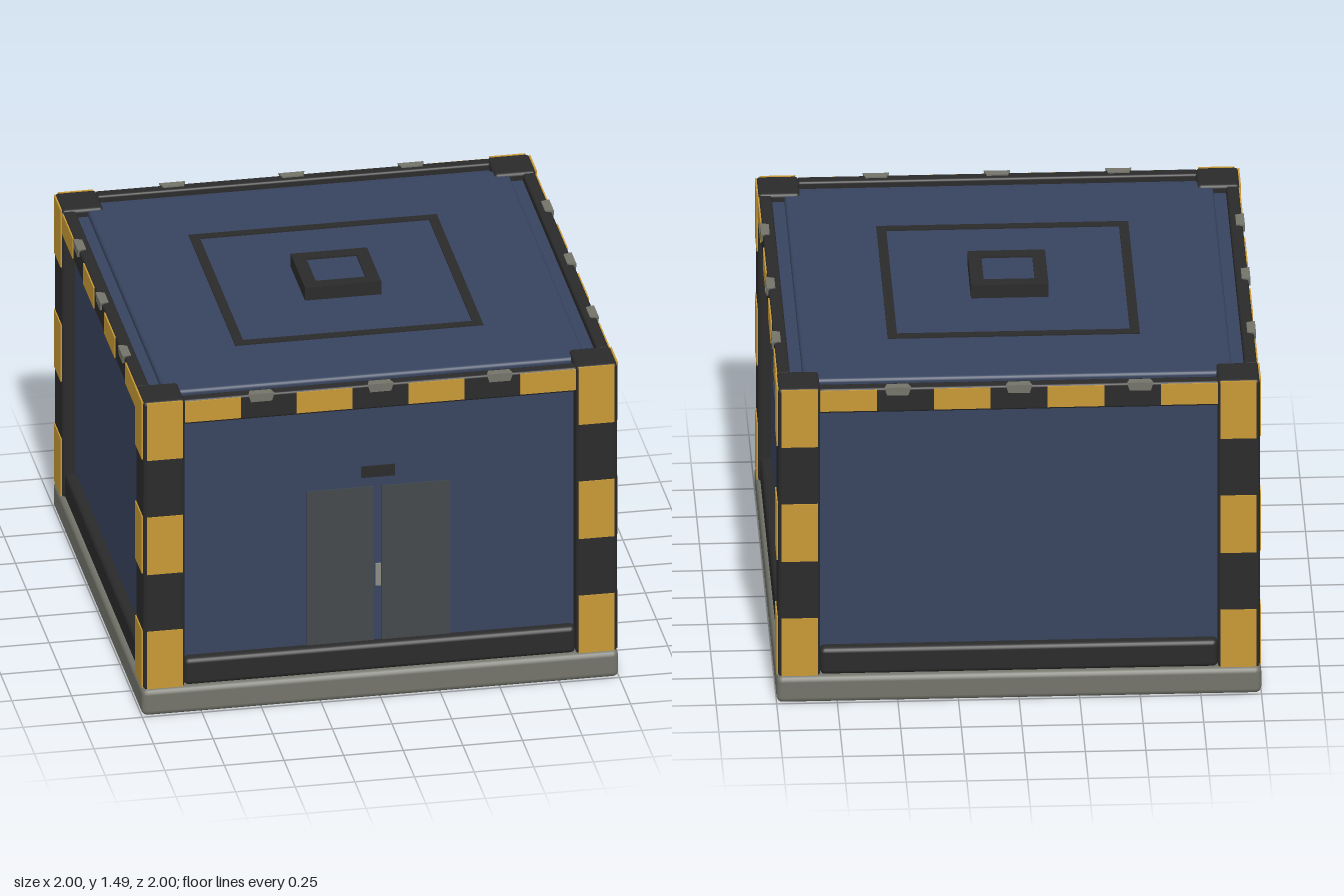
import * as THREE from 'three';
import { RoundedBoxGeometry } from 'three/addons/geometries/RoundedBoxGeometry.js';

const paint = (name, color) => {
  const m = new THREE.MeshStandardMaterial({ color });
  m.name = name;
  return m;
};

export function createModel() {
  const blue = paint('navy panel', 0x37445f);
  const black = paint('black frame', 0x2a2a2a);
  const yellow = paint('hazard yellow', 0xc89936);
  const gray = paint('concrete gray', 0x73746a);
  const steel = paint('dark steel', 0x43484c);
  const silver = paint('light metal', 0x8c8c84);

  const model = new THREE.Group();
  model.name = 'utilityShelter';

  const add = (parent, name, geometry, material) => {
    const mesh = new THREE.Mesh(geometry, material);
    mesh.name = name;
    parent.add(mesh);
    return mesh;
  };
  // box given by its min and max corners; r > 0 rounds the edges
  const block = (parent, name, material, [x0, y0, z0], [x1, y1, z1], r = 0) => {
    const size = [x1 - x0, y1 - y0, z1 - z0];
    const geometry = r ? new RoundedBoxGeometry(...size, 2, r) : new THREE.BoxGeometry(...size);
    geometry.translate((x0 + x1) / 2, (y0 + y1) / 2, (z0 + z1) / 2);
    return add(parent, name, geometry, material);
  };
  // thin painted plate lying on a side face at depth z
  const plate = (parent, name, material, x0, x1, y0, y1, z, t = 0.005) =>
    block(parent, name, material, [x0, y0, z - 0.002], [x1, y1, z + t]);
  // flat square ring lying on the roof
  const squareRing = (outer, inner, height) => {
    const square = (path, h) => path.moveTo(-h, -h).lineTo(h, -h).lineTo(h, h).lineTo(-h, h).closePath();
    const shape = square(new THREE.Shape(), outer);
    shape.holes.push(square(new THREE.Path(), inner));
    return new THREE.ExtrudeGeometry(shape, { depth: height, bevelEnabled: false }).rotateX(-Math.PI / 2);
  };

  const WALL = 0.94;

  // foundation, body and roof
  block(model, 'foundation', gray, [-1, 0, -1], [1, 0.12, 1], 0.025);
  block(model, 'body', blue, [-WALL, 0.11, -WALL], [WALL, 1.405, WALL]);
  block(model, 'roofPanel', blue, [-0.885, 1.36, -0.885], [0.885, 1.43, 0.885], 0.015);

  // roof marking and hatch
  add(model, 'roofMarking', squareRing(0.52, 0.48, 0.007), black).position.y = 1.428;
  add(model, 'hatchFrame', squareRing(0.16, 0.105, 0.065), black).position.y = 1.425;
  block(model, 'hatchPanel', blue, [-0.106, 1.42, -0.106], [0.106, 1.482, 0.106]);

  // clip over the outer top edge, narrowing away from that edge
  const clipGeometry = new THREE.BoxGeometry(0.11, 0.036, 0.036);
  const p = clipGeometry.attributes.position;
  for (let i = 0; i < p.count; i++) {
    if (p.getY(i) < 0 || p.getZ(i) < 0) p.setX(i, p.getX(i) * 0.8);
  }
  clipGeometry.computeVertexNormals();

  // four identical sides
  const sides = [];
  for (let s = 0; s < 4; s++) {
    const side = new THREE.Group();
    side.name = ['frontSide', 'rightSide', 'backSide', 'leftSide'][s];
    side.rotation.y = s * Math.PI / 2;
    model.add(side);
    sides.push(side);

    block(side, 'cornerPost', black, [0.82, 0.12, 0.82], [0.994, 1.44, 0.994], 0.015);
    block(side, 'skirting', black, [-0.82, 0.12, 0.9], [0.82, 0.24, 0.985], 0.02);
    block(side, 'topBeam', black, [-0.825, 1.325, WALL - 0.003], [0.825, 1.436, 0.99], 0.01);

    // hazard stripes on both posts and the beam
    for (const sign of [-1, 1]) {
      for (let i = 0; i < 5; i += 2) {
        const y = 0.126 + i * 0.2625;
        const a = sign * 0.83, b = sign * 0.98;
        plate(side, 'postStripe', yellow, Math.min(a, b), Math.max(a, b), y, y + 0.2625, 0.994);
      }
    }
    for (let i = 0; i < 7; i += 2) {
      const x = -0.82 + i * 1.64 / 7;
      plate(side, 'beamStripe', yellow, x, x + 1.64 / 7, 1.336, 1.43, 0.99);
    }
    for (const x of [-0.5, 0, 0.5]) {
      add(side, 'edgeClip', clipGeometry, gray).position.set(x, 1.424, 0.98);
    }
  }

  // double door on the front
  const [front, right] = sides;
  plate(front, 'leftDoor', steel, 0.015, 0.3, 0.235, 0.945, WALL);
  plate(front, 'rightDoor', steel, -0.3, -0.018, 0.235, 0.945, WALL);
  plate(front, 'doorHandle', silver, -0.012, 0.01, 0.49, 0.59, WALL, 0.009);
  plate(front, 'doorSign', black, -0.07, 0.07, 0.99, 1.04, WALL, 0.008);

  // vent and service panel on the right
  plate(right, 'vent', black, -0.46, -0.1, 0.72, 0.967, WALL);
  for (let i = 0; i < 4; i++) {
    const y = 0.755 + i * 0.06;
    plate(right, 'ventSlat', steel, -0.45, -0.11, y - 0.009, y + 0.009, WALL, 0.009);
  }
  plate(right, 'servicePanel', gray, 0.22, 0.46, 0.52, 0.68, WALL);

  return model;
}
